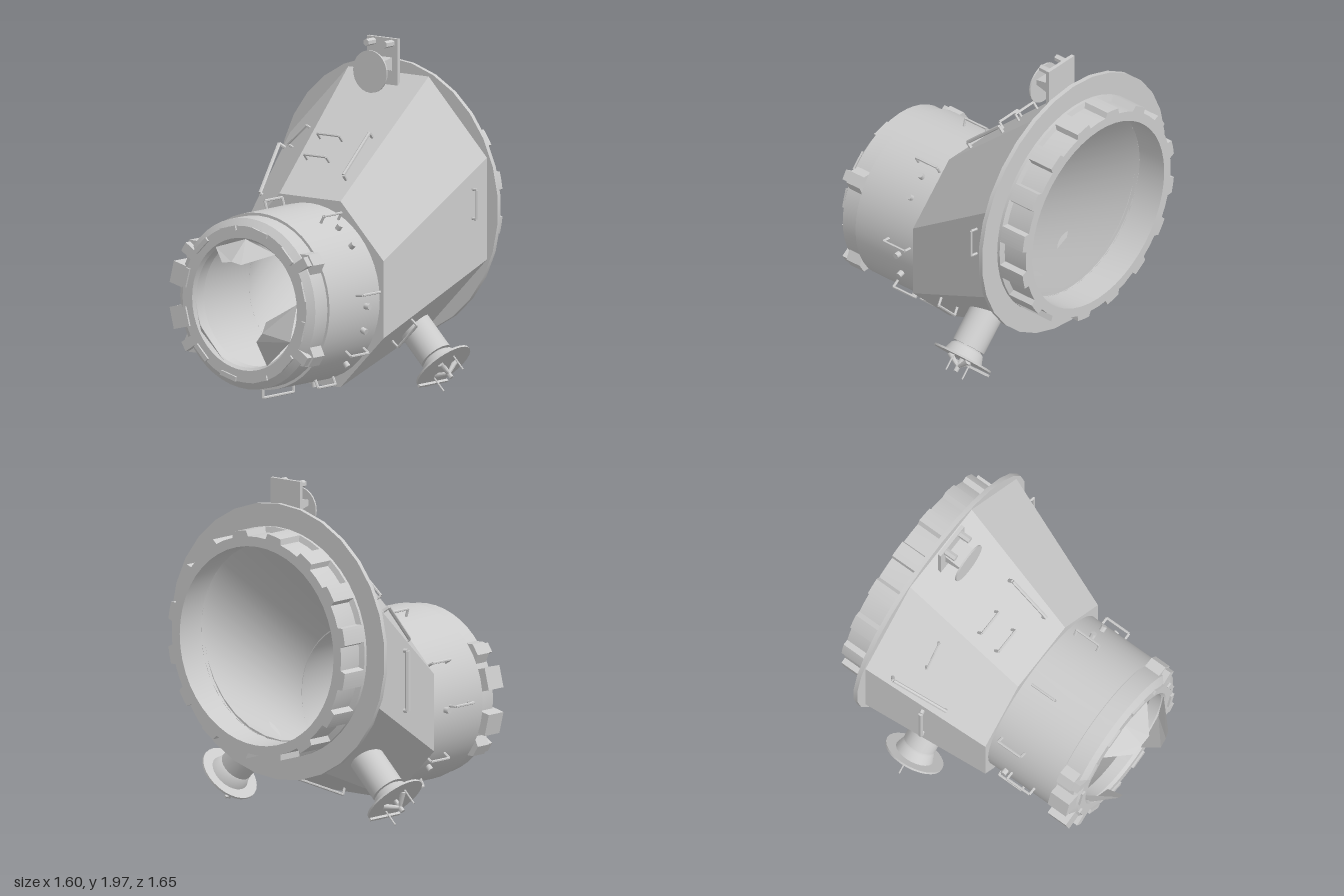
import * as THREE from 'three';
import { toCreasedNormals } from 'three/addons/utils/BufferGeometryUtils.js';

const FRONT_Y = 0.605, BACK_Y = 1.067;
const mat = new THREE.MeshStandardMaterial({ color: 0xcccccc, side: THREE.DoubleSide });
const V = (x, y, z) => new THREE.Vector3(x, y, z);

export function createModel() {
  const model = new THREE.Group();

  function add(name, geo, parent = model) {
    const m = new THREE.Mesh(geo, mat);
    m.name = name;
    parent.add(m);
    return m;
  }
  // Ring turned about the z axis from [radius, z] points
  function turned(name, pts, y, segs) {
    const lathe = new THREE.LatheGeometry(pts.map(p => new THREE.Vector2(...p)), segs);
    lathe.rotateX(Math.PI / 2);
    add(name, toCreasedNormals(lathe, 0.5)).position.y = y;
  }
  // Skin between two loops of equal length
  function loft(name, a, b, crease) {
    const pos = [];
    a.forEach((p, i) => {
      const j = (i + 1) % a.length;
      for (const v of [p, a[j], b[j], p, b[j], b[i]]) pos.push(v.x, v.y, v.z);
    });
    const g = new THREE.BufferGeometry();
    g.setAttribute('position', new THREE.Float32BufferAttribute(pos, 3));
    add(name, toCreasedNormals(g, crease));
  }
  function rod(name, a, b, r, parent = model, sides = 6, r2 = r) {
    const d = b.clone().sub(a);
    const geo = new THREE.CylinderGeometry(r2, r, d.length(), sides);
    const m = add(name, toCreasedNormals(geo, 0.9), parent);
    m.position.copy(a).add(b).multiplyScalar(0.5);
    m.quaternion.setFromUnitVectors(V(0, 1, 0), d.normalize());
    return m;
  }
  // Handrail between two surface points, standing off along a normal
  function handrail(a, b, n, h = 0.045, r = 0.008) {
    const g = new THREE.Group();
    g.name = 'handrail';
    const off = n.clone().normalize().multiplyScalar(h);
    const a2 = a.clone().add(off), b2 = b.clone().add(off);
    rod('grip', a2, b2, r, g);
    rod('foot', a, a2, r, g);
    rod('foot', b, b2, r, g);
    model.add(g);
  }
  // Group whose local x points outward from the front cylinder axis
  function radial(name, deg, r, z) {
    const g = new THREE.Group(), t = deg * Math.PI / 180;
    g.name = name;
    g.position.set(Math.cos(t) * r, FRONT_Y + Math.sin(t) * r, z);
    g.rotation.z = t;
    model.add(g);
    return g;
  }
  const circle = (r, y, z, n) => Array.from({ length: n }, (_, i) => {
    const t = i / n * Math.PI * 2;
    return V(Math.cos(t) * r, y + Math.sin(t) * r, z);
  });
  const octagon = (w, c, cy, z) => [[c, w], [w, c], [w, -c], [c, -w], [-c, -w], [-w, -c], [-w, c], [-c, w]]
    .map(([x, y]) => V(x, cy + y, z));

  // Oblique eight-sided body, its front wall and its round inner lining
  const frontOct = octagon(0.54, 0.225, 0.61, 0.11);
  loft('body', frontOct, octagon(0.724, 0.295, BACK_Y, -0.61), 0.1);
  loft('bodyLining', circle(0.45, FRONT_Y, 0.11, 40), circle(0.58, BACK_Y, -0.64, 40), 0.5);
  const wall = new THREE.Shape(frontOct.map(p => new THREE.Vector2(p.x, p.y)));
  wall.holes.push(new THREE.Path().absarc(0, FRONT_Y, 0.45, 0, Math.PI * 2, true));
  add('bodyFrontWall', new THREE.ShapeGeometry(wall, 20)).position.z = 0.11;

  // Front cylinder and docking ring
  turned('frontCylinder', [[0.45, 0.1], [0.513, 0.1], [0.513, 0.57], [0.497, 0.57], [0.497, 0.68],
    [0.455, 0.71], [0.385, 0.71], [0.37, 0.69], [0.37, 0.62], [0.45, 0.54], [0.45, 0.1]], FRONT_Y, 48);

  // Rear flange and toothed berthing ring
  turned('rearFlange', [[0.58, -0.637], [0.805, -0.637], [0.805, -0.61], [0.58, -0.61]], BACK_Y, 30);
  turned('rearRing', [[0.58, -0.825], [0.637, -0.825], [0.637, -0.665], [0.67, -0.655],
    [0.67, -0.63], [0.58, -0.63], [0.58, -0.825]], BACK_Y, 48);
  const tooth = new THREE.Shape();
  tooth.absarc(0, 0, 0.67, -0.075, 0.075, false);
  tooth.absarc(0, 0, 0.62, 0.1, -0.1, true);
  for (let i = 0; i < 16; i++) {
    const m = add('rearTooth', new THREE.ExtrudeGeometry(tooth, { depth: 0.17, bevelEnabled: false, curveSegments: 3 }));
    m.position.set(0, BACK_Y, -0.825);
    m.rotation.z = (i + 0.5) * Math.PI / 8;
  }

  // Guide petals leaning inward
  for (const deg of [90, 210, 330]) {
    const g = radial('guidePetal', deg, 0, 0);
    const corners = [[-0.22, 0.31, 0.70], [0, 0.378, 0.70], [0.22, 0.31, 0.70],
      [0.07, 0.25, 0.828], [0, 0.262, 0.83], [-0.07, 0.25, 0.828]];
    const petal = new THREE.BufferGeometry();
    petal.setAttribute('position', new THREE.Float32BufferAttribute(
      [0, 1, 4, 0, 4, 5, 1, 2, 3, 1, 3, 4].flatMap(i => [corners[i][1], -corners[i][0], corners[i][2]]), 3));
    petal.computeVertexNormals();
    add('petalPlate', petal, g);
  }

  // Latches on the ring face
  for (let i = 0; i < 12; i++) {
    add('faceLatch', new THREE.BoxGeometry(0.028, 0.115, 0.02), radial('latch', 15 + 30 * i, 0.44, 0.712));
  }
  // Tapered brackets round the rim, and two side boxes
  const bracketShape = new THREE.Shape([[-0.03, -0.075], [0.035, -0.035], [0.035, 0.035], [-0.03, 0.075]]
    .map(p => new THREE.Vector2(...p)));
  for (const deg of [33, 147, 213, 327]) {
    const g = radial('rimBracket', deg, 0.51, 0.57);
    add('bracketBody', new THREE.ExtrudeGeometry(bracketShape, { depth: 0.1, bevelEnabled: false }), g);
    add('bracketTip', new THREE.BoxGeometry(0.09, 0.06, 0.05), g).position.set(-0.02, 0, 0.115);
  }
  for (const deg of [166, 194]) {
    add('sideBox', new THREE.BoxGeometry(0.1, 0.13, 0.13), radial('rimBox', deg, 0.51, 0.635));
  }

  // Handrails and pegs on the front cylinder
  const rim = (deg, z) => {
    const t = deg * Math.PI / 180;
    return V(Math.cos(t) * 0.51, FRONT_Y + Math.sin(t) * 0.51, z);
  };
  const out = deg => V(Math.cos(deg * Math.PI / 180), Math.sin(deg * Math.PI / 180), 0);
  for (const deg of [6, 61, 107, 150, 212, 240, 294, 327]) {
    handrail(rim(deg, 0.16), rim(deg, 0.32), out(deg), 0.05);
  }
  handrail(rim(270, 0.26), rim(270, 0.54), out(270), 0.055);
  handrail(rim(178, 0.28), rim(178, 0.44), out(178), 0.05);
  for (const deg of [38, 53, 358, 342, 315, 285, 180, 222, 255]) {
    rod('peg', rim(deg, 0.24), rim(deg, 0.24).addScaledVector(out(deg), 0.035), 0.018, model, 10);
  }

  // Handrails on the body faces
  const top = V(0, 0.75, 0.66), upper = V(-0.58, 0.58, 0.57);
  for (const [y, z] of [[1.434, -0.21], [1.327, -0.09]]) handrail(V(-0.18, y, z), V(-0.02, y, z), top);
  handrail(V(0.17, 1.255, -0.01), V(0.17, 1.47, -0.25), top, 0.04, 0.011);
  handrail(V(-0.49, 1.33, -0.35), V(-0.36, 1.45, -0.36), upper, 0.04);
  handrail(V(-0.65, 1.3, -0.47), V(-0.55, 1.06, -0.17), upper, 0.04, 0.011);
  handrail(V(-0.63, 0.69, -0.27), V(-0.63, 1.04, -0.27), V(-0.97, 0, 0.24), 0.03, 0.015);
  handrail(V(0.695, 1.02, -0.51), V(0.695, 1.19, -0.51), V(1, 0, 0.25));
  handrail(V(0, 0.13, -0.05), V(0, 0.28, -0.45), V(0, -0.936, -0.35), 0.04);
  handrail(V(0.56, 0.47, -0.12), V(0.42, 0.33, -0.12), V(0.7, -0.7, -0.2), 0.05);

  // Dish units on the two lower side faces, built along +y
  for (const s of [-1, 1]) {
    const g = new THREE.Group();
    g.name = s > 0 ? 'leftDishUnit' : 'rightDishUnit';
    g.position.set(s * 0.38, 0.42, -0.335);
    g.quaternion.setFromUnitVectors(V(0, 1, 0), V(s, -1, 0).normalize());
    rod('dishColumn', V(0, -0.05, 0), V(0, 0.27, 0), 0.1, g, 24);
    const bowl = new THREE.LatheGeometry([[0.0, 0.255], [0.06, 0.26], [0.1, 0.285], [0.12, 0.34]]
      .map(p => new THREE.Vector2(...p)), 24);
    add('dishBowl', bowl, g);
    rod('dishDisc', V(0, 0.338, 0), V(0, 0.35, 0), 0.182, g, 28);
    for (let i = 0; i < 3; i++) {
      const t = i * Math.PI * 2 / 3;
      rod('feedStrut', V(Math.cos(t) * 0.08, 0.35, Math.sin(t) * 0.08), V(0, 0.4, 0), 0.018, g, 8, 0.01);
    }
    rod('feed', V(0, 0.35, 0), V(0, 0.43, 0), 0.014, g, 8);
    for (const x of [-0.1, 0.1]) rod('spike', V(x, 0.3, 0), V(x, 0.45, 0), 0.005, g);
    add('crossBar', new THREE.BoxGeometry(0.015, 0.015, 0.26), g).position.set(s * 0.13, 0.365, 0);
    model.add(g);
  }

  // Target stand on top: back plate, arm, disc and two pegs
  add('standPlate', new THREE.BoxGeometry(0.225, 0.27, 0.022)).position.set(0.012, 1.865, -0.547);
  const arm = new THREE.Shape([[-0.425, 1.84], [-0.54, 1.81], [-0.54, 1.89], [-0.425, 1.87]]
    .map(([z, y]) => new THREE.Vector2(-z, y)));
  const armMesh = add('standArm', new THREE.ExtrudeGeometry(arm, { depth: 0.14, bevelEnabled: false }));
  armMesh.rotation.y = Math.PI / 2;
  armMesh.position.x = -0.055;
  rod('targetDisc', V(0.015, 1.815, -0.43), V(0.015, 1.815, -0.42), 0.123, model, 28);
  for (const x of [-0.05, 0.085]) rod('standPeg', V(x, 1.972, -0.54), V(x, 1.972, -0.465), 0.021, model, 6);

  return model;
}
